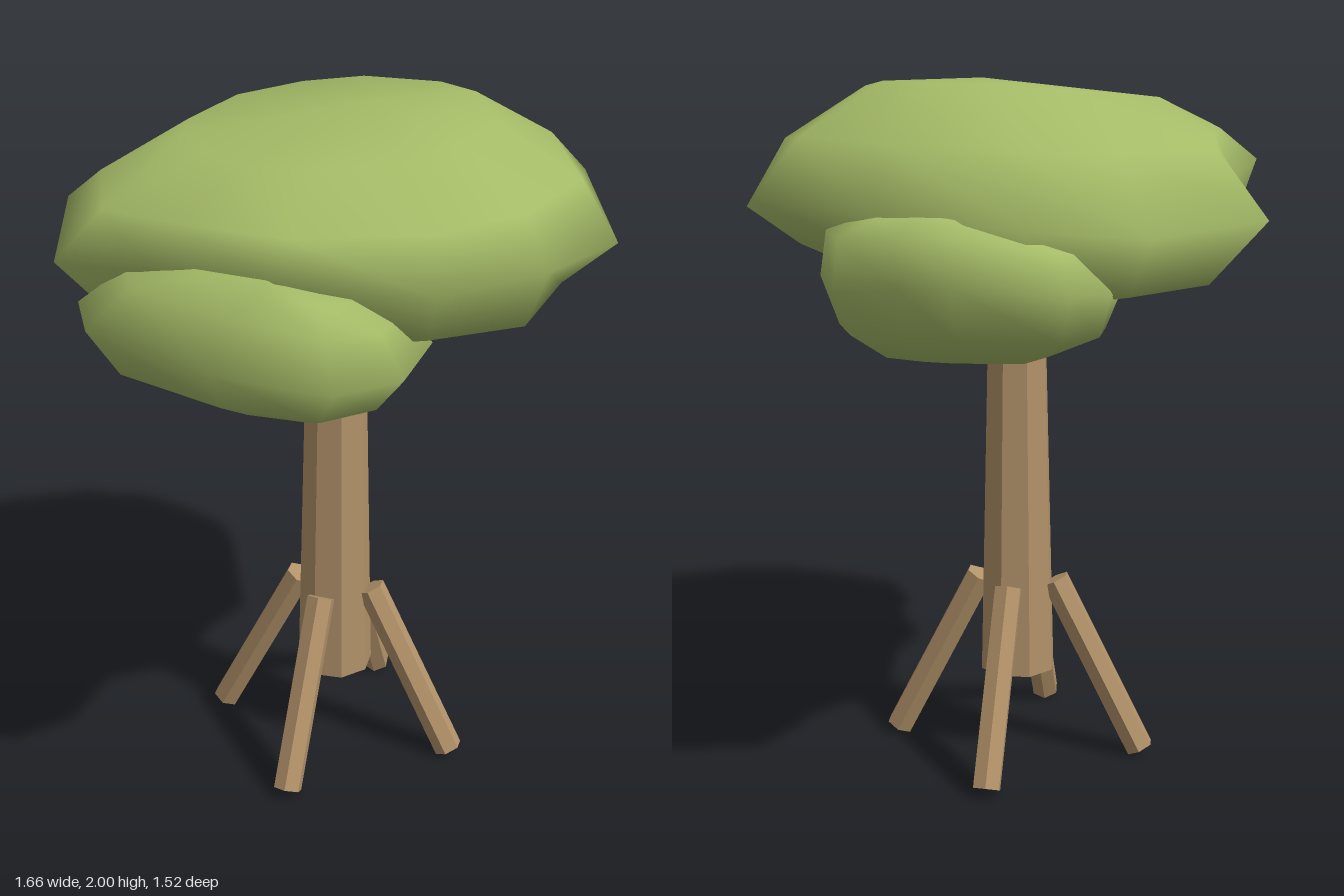
import * as THREE from 'three';
import { mergeVertices } from 'three/addons/utils/BufferGeometryUtils.js';

const leafGreen = new THREE.MeshStandardMaterial({ color: 0xa5bb67 });
leafGreen.name = 'leafGreen';
const barkBrown = new THREE.MeshStandardMaterial({ color: 0xb29269, flatShading: true });
barkBrown.name = 'barkBrown';

// Smooth lump of leaves lofted through rings, top to bottom. A ring is a list of points, or
// [scale, y offset, x shift, z shift, share of outline height kept, x tilt, roundness] of the outline.
function leafClump(name, outline, [cx, cy, cz], rings) {
  const n = outline.length, pos = [], index = [];
  const mean = outline.reduce((sum, [x, , z]) => sum + Math.hypot(x - cx, z - cz), 0) / n;
  rings.forEach((ring) => {
    if (Array.isArray(ring[0])) return pos.push(...ring.flat());
    const [s, dy, sx, sz, keep, tilt, round = 0] = ring;
    outline.forEach(([x, y, z]) => {
      const k = s * THREE.MathUtils.lerp(1, mean / Math.hypot(x - cx, z - cz), round);
      const px = cx + (x - cx) * k + sx, pz = cz + (z - cz) * k + sz;
      pos.push(px, cy + dy + (y - cy) * keep + tilt * (px - cx), pz);
    });
  });
  for (let r = 0; r < rings.length - 1; r++) {
    for (let j = 0; j < n; j++) {
      const k = (j + 1) % n;
      const a = r * n + j, b = r * n + k, c = a + n, d = b + n;
      if (r > 0) index.push(a, b, c);
      if (r < rings.length - 2) index.push(b, d, c);
    }
  }
  let geo = new THREE.BufferGeometry();
  geo.setAttribute('position', new THREE.Float32BufferAttribute(pos, 3));
  geo.setIndex(index);
  geo = mergeVertices(geo, 1e-4);
  geo.computeVertexNormals();
  const mesh = new THREE.Mesh(geo, leafGreen);
  mesh.name = name;
  return mesh;
}

export function createModel() {
  const tree = new THREE.Group();
  tree.name = 'tree';

  // Tapered trunk, slightly off centre
  const base = new THREE.Vector3(0.022, 0, 0.04);
  const trunk = new THREE.Mesh(new THREE.CylinderGeometry(0.085, 0.114, 1.15, 8), barkBrown);
  trunk.name = 'trunk';
  trunk.position.set(base.x, 0.83, base.z);
  trunk.rotation.y = 0.15;
  tree.add(trunk);

  // Four splayed prop roots
  const up = new THREE.Vector3(0, 1, 0);
  for (let i = 0; i < 4; i++) {
    const angle = 0.38 + i * Math.PI / 2;
    const at = (r, y) => new THREE.Vector3(Math.sin(angle) * r, y, Math.cos(angle) * r).add(base);
    const foot = at(0.378, 0.02), top = at(0.115, 0.535);
    const root = new THREE.Mesh(new THREE.CylinderGeometry(0.043, 0.043, foot.distanceTo(top), 6), barkBrown);
    root.name = 'root' + (i + 1);
    root.position.copy(foot).lerp(top, 0.5);
    root.quaternion.setFromUnitVectors(up, top.clone().sub(foot).normalize());
    tree.add(root);
  }

  // Broad main crown with a fuller underside at the back
  const crownUnderside = [
    [0.6, 1.55, 0], [0.58, 1.56, 0.24], [0.36, 1.53, 0.56], [0.03, 1.53, 0.69], [-0.2, 1.52, 0.56],
    [-0.48, 1.52, 0.34], [-0.55, 1.5, 0.06], [-0.6, 1.5, -0.17], [-0.46, 1.48, -0.36],
    [-0.25, 1.47, -0.42], [0.03, 1.47, -0.59], [0.33, 1.47, -0.53], [0.55, 1.5, -0.38],
  ];
  tree.add(leafClump('mainCrown', [
    [0.72, 1.68, 0], [0.8, 1.71, 0.31], [0.47, 1.64, 0.66], [0.03, 1.69, 0.757], [-0.27, 1.67, 0.65],
    [-0.6, 1.72, 0.42], [-0.67, 1.7, 0.08], [-0.755, 1.68, -0.21], [-0.53, 1.76, -0.43],
    [-0.31, 1.72, -0.48], [0.03, 1.65, -0.76], [0.39, 1.63, -0.63], [0.66, 1.66, -0.44],
  ], [0, 1.67, 0], [
    [0, 0.328, 0.1, 0.1, 0, 0],
    [0.56, 0.287, 0, 0.07, 0.1, 0.085, 1],
    [0.86, 0.16, -0.03, 0.06, 0.3, 0.02, 0.4],
    [1, 0, 0, 0, 1, 0],
    crownUnderside,
    [0.45, -0.25, 0, 0, 0.2, 0],
    [0, -0.31, 0, 0, 0, 0],
  ]));

  // Lower clump on the -x side
  tree.add(leafClump('rightClump', [
    [-0.83, 1.57, 0], [-0.71, 1.57, -0.18], [-0.45, 1.52, -0.26], [-0.15, 1.46, -0.12], [0.02, 1.41, 0.2],
    [-0.08, 1.46, 0.48], [-0.4, 1.5, 0.66], [-0.6, 1.51, 0.62], [-0.76, 1.54, 0.37],
  ], [-0.44, 1.53, 0.22], [
    [0, 0.195, -0.16, 0.18, 0, -0.1],
    [0.45, 0.165, -0.06, 0.13, 0.3, -0.12],
    [0.77, 0.11, -0.02, 0.05, 0.8, -0.06],
    [1, 0, 0, 0, 1, 0],
    [0.82, -0.11, 0, 0, 0.5, -0.02],
    [0.5, -0.18, 0.03, 0, 0.2, -0.02],
    [0, -0.2, 0.03, 0, 0, 0],
  ]));

  // Lower clump on the +x side
  tree.add(leafClump('leftClump', [
    [0.83, 1.5, 0.02], [0.74, 1.52, 0.14], [0.5, 1.53, 0.3], [0.22, 1.43, 0.29], [0.06, 1.38, 0],
    [0.08, 1.42, -0.34], [0.38, 1.48, -0.51], [0.6, 1.5, -0.53], [0.78, 1.53, -0.31], [0.82, 1.52, -0.18],
  ], [0.46, 1.49, -0.12], [
    [0, 0.19, 0.06, 0, 0, 0.05],
    [0.55, 0.165, 0.06, 0, 0.3, 0.06],
    [0.92, 0.1, 0.02, 0, 0.8, 0.08],
    [1, 0, 0, 0, 1, 0],
    [0.9, -0.115, -0.01, 0, 0.4, 0.02],
    [0.6, -0.18, -0.01, 0.02, 0.1, 0.01],
    [0, -0.19, 0, 0, 0, 0],
  ]));

  return tree;
}
